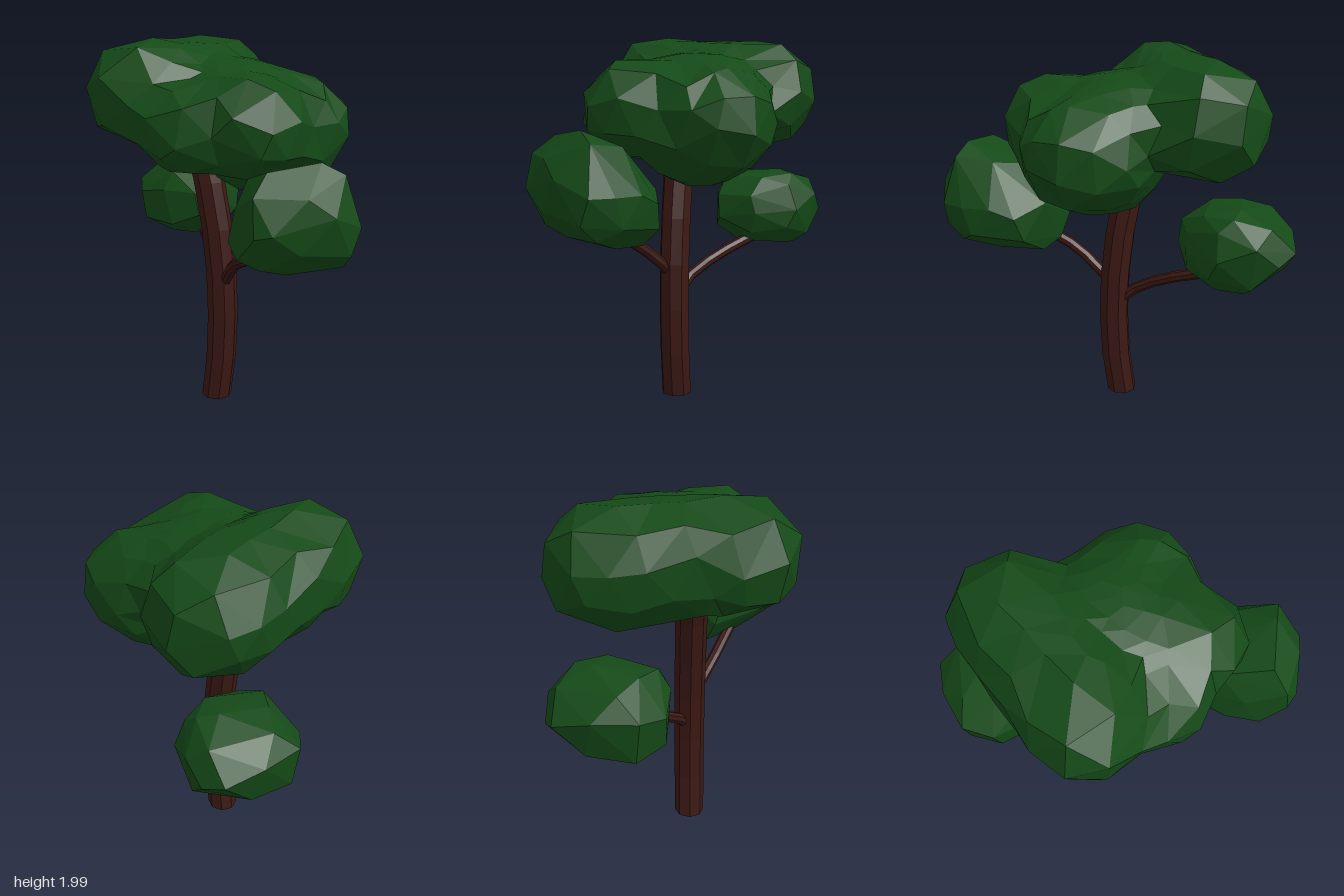
import * as THREE from 'three';
import { ConvexGeometry } from 'three/addons/geometries/ConvexGeometry.js';

const leafMaterial = new THREE.MeshStandardMaterial({ color: 0x154a18, flatShading: true });
const barkMaterial = new THREE.MeshStandardMaterial({ color: 0x3c1914, flatShading: true });

function addMesh(parent, name, geometry, material) {
  const mesh = new THREE.Mesh(geometry, material);
  mesh.name = name;
  parent.add(mesh);
}

// Falloff of a slightly boxy lobe [x, y, z, rx, ry, rz]: 1 on its surface, more inside
function lobeField(p, [x, y, z, rx, ry, rz]) {
  const e = 2.3;
  const f = Math.abs((p.x - x) / rx) ** e + Math.abs((p.y - y) / ry) ** e + Math.abs((p.z - z) / rz) ** e;
  return Math.exp(7 * (1 - f));
}

// One faceted skin pushed out from a centre to the blended surface of several lobes
function blendedLobes(centre, lobes, detail, scale) {
  const geometry = new THREE.IcosahedronGeometry(1, detail);
  const pos = geometry.attributes.position;
  const c = new THREE.Vector3(...centre);
  const d = new THREE.Vector3();
  const p = new THREE.Vector3();
  for (let i = 0; i < pos.count; i++) {
    d.fromBufferAttribute(pos, i);
    // small uneven twist of the directions for irregular facets
    const { x, y, z } = d;
    d.x += 0.08 * Math.sin(9 * y + 5 * z);
    d.y += 0.08 * Math.sin(8 * z + 6 * x);
    d.z += 0.08 * Math.sin(9 * x + 7 * y);
    d.normalize();
    let r = 1.1;
    do {
      r -= 0.004;
      p.copy(c).addScaledVector(d, r);
    } while (r > 0.05 && lobes.reduce((sum, lobe) => sum + lobeField(p, lobe), 0) < 1);
    p.copy(c).addScaledVector(d, r * scale);
    pos.setXYZ(i, p.x, p.y, p.z);
  }
  geometry.computeVertexNormals();
  return geometry;
}

// Faceted leaf clump from its outer corners
const clump = (corners) => new ConvexGeometry(corners.map((p) => new THREE.Vector3(...p)));

// Thin bent limb whose ends are buried in the trunk and the leaves
function branch(points) {
  const curve = new THREE.CatmullRomCurve3(points.map((p) => new THREE.Vector3(...p)));
  return new THREE.TubeGeometry(curve, 5, 0.03, 8);
}

// Octagonal trunk, bowed sideways
function trunk() {
  const geometry = new THREE.CylinderGeometry(0.083, 0.083, 1.5, 8, 6);
  geometry.translate(0, 0.75, 0.07);
  const pos = geometry.attributes.position;
  for (let i = 0; i < pos.count; i++) {
    const y = pos.getY(i);
    pos.setX(i, pos.getX(i) - 0.08 + 0.178 * y - 0.168 * y * y);
  }
  geometry.computeVertexNormals();
  return geometry;
}

export function createModel() {
  const tree = new THREE.Group();
  tree.name = 'tree';

  addMesh(tree, 'trunk', trunk(), barkMaterial);
  addMesh(tree, 'rightBranch', branch([
    [-0.05, 0.58, 0.05], [-0.14, 0.67, 0], [-0.27, 0.77, -0.13], [-0.5, 0.87, -0.32],
  ]), barkMaterial);
  addMesh(tree, 'leftBranch', branch([
    [-0.02, 0.69, 0.08], [0.04, 0.76, 0.12], [0.15, 0.87, 0.21], [0.34, 0.98, 0.32],
  ]), barkMaterial);

  // Wide crown: four corner lobes, front bulge, ridge on the right, core and underside
  addMesh(tree, 'crown', blendedLobes([-0.08, 1.6, -0.02], [
    [-0.39, 1.67, -0.3, 0.29, 0.29, 0.32],
    [-0.38, 1.71, 0.24, 0.27, 0.27, 0.31],
    [0.18, 1.53, -0.2, 0.32, 0.27, 0.31],
    [0.22, 1.59, 0.18, 0.29, 0.25, 0.27],
    [-0.04, 1.57, 0.27, 0.27, 0.22, 0.29],
    [-0.37, 1.69, -0.04, 0.3, 0.27, 0.36],
    [-0.1, 1.64, -0.04, 0.4, 0.24, 0.38],
    [0.08, 1.42, -0.1, 0.29, 0.22, 0.25],
  ], 3, 1.025), leafMaterial);

  // Clump on the right branch
  addMesh(tree, 'rightClump', clump([
    [-0.86, 1.1, -0.2], [-0.84, 0.88, -0.22], [-0.85, 1.1, -0.42], [-0.78, 1.2, -0.3],
    [-0.78, 1.05, -0.6], [-0.8, 0.9, -0.45], [-0.67, 1, -0.64], [-0.55, 1.1, -0.63],
    [-0.55, 0.87, -0.59], [-0.38, 1.02, -0.55], [-0.4, 1.16, -0.5], [-0.3, 1, -0.33],
    [-0.31, 1.1, -0.3], [-0.32, 0.89, -0.3], [-0.38, 1.2, -0.35], [-0.55, 1.24, -0.42],
    [-0.65, 1.18, -0.58], [-0.65, 1.22, -0.2], [-0.68, 0.81, -0.38], [-0.42, 0.83, -0.45],
    [-0.6, 0.82, -0.18], [-0.75, 1.06, -0.08], [-0.72, 0.9, -0.08], [-0.55, 1.1, -0.05],
    [-0.5, 0.9, -0.06], [-0.36, 1.1, -0.1], [-0.34, 0.97, -0.11], [-0.53, 1.2, -0.11],
    [-0.56, 0.81, -0.5], [-0.45, 0.82, -0.22], [-0.36, 0.92, -0.5], [-0.48, 1.22, -0.5],
  ]), leafMaterial);

  // Taller, tilted clump on the left branch
  addMesh(tree, 'leftClump', clump([
    [0.86, 1.2, 0.2], [0.84, 1.07, 0.25], [0.78, 1.44, 0.22], [0.83, 1.28, 0.38],
    [0.57, 1.2, 0.64], [0.65, 1.22, 0.61], [0.55, 1.38, 0.62], [0.7, 1.5, 0.3],
    [0.54, 1.47, 0.5], [0.33, 1.38, 0.35], [0.53, 1.15, -0.02], [0.48, 1.02, -0.01],
    [0.65, 1.2, 0.02], [0.78, 1.2, 0.1], [0.35, 0.91, 0.12], [0.58, 0.93, 0.18],
    [0.77, 0.99, 0.2], [0.24, 0.95, 0.18], [0.18, 1.07, 0.22], [0.21, 1.2, 0.27],
    [0.45, 1.07, 0.6], [0.31, 1.1, 0.48], [0.72, 1.12, 0.5], [0.38, 0.95, 0.36],
    [0.6, 0.98, 0.42], [0.35, 1.2, 0.05], [0.6, 1.42, 0.13], [0.4, 1.38, 0.2],
    [0.55, 1.03, 0.56], [0.38, 1.28, 0.52], [0.74, 1.37, 0.47], [0.74, 1.05, 0.08],
  ]), leafMaterial);

  return tree;
}
